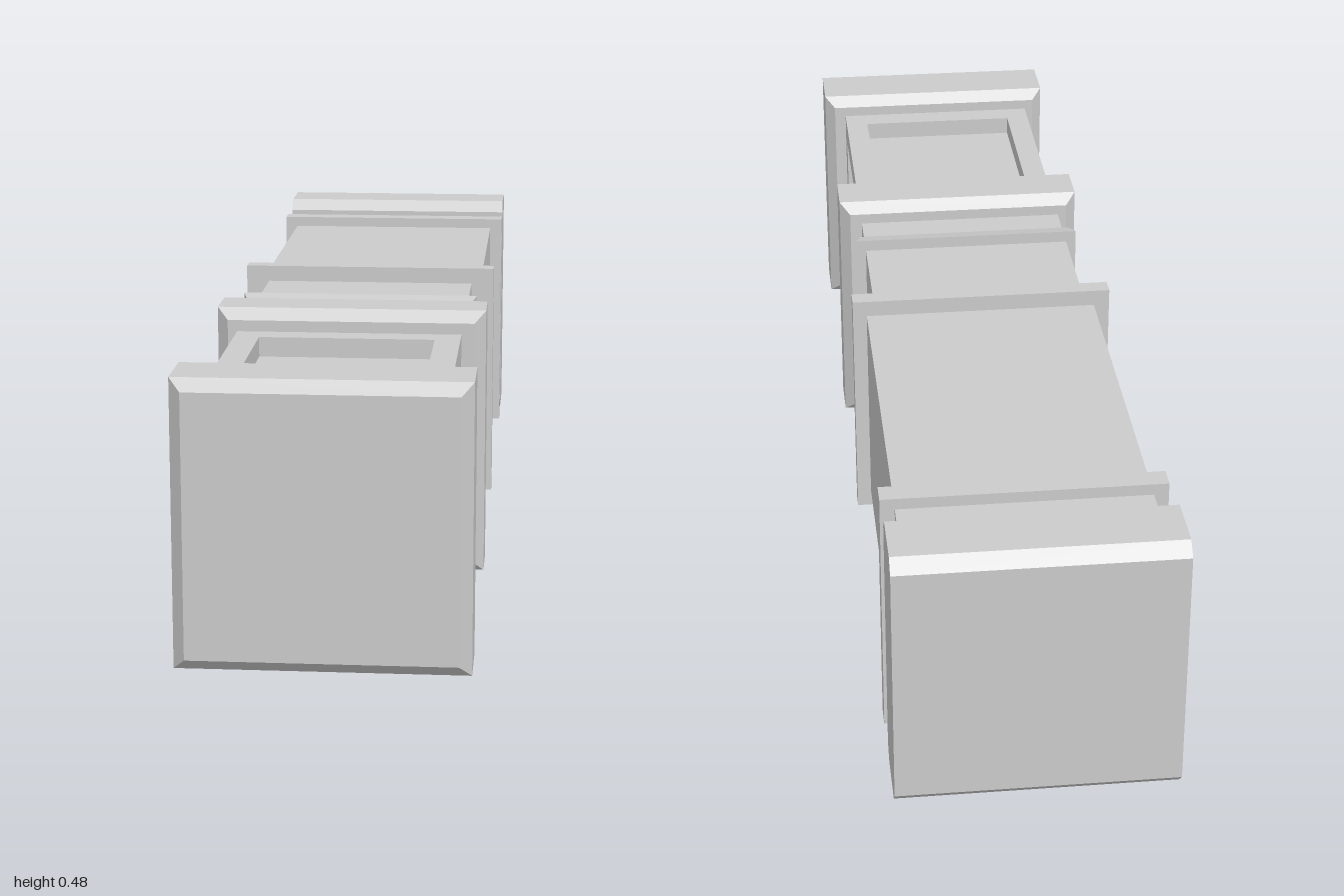
import * as THREE from 'three';

const material = new THREE.MeshStandardMaterial({ color: 0xcccccc, flatShading: true });

export function createModel() {
  const model = new THREE.Group();

  const add = (name, geometry, parent = model) => {
    const mesh = new THREE.Mesh(geometry, material);
    mesh.name = name;
    parent.add(mesh);
    return mesh;
  };

  // Box given by its limits on each axis
  const block = (name, x0, x1, y0, y1, z0, z1, parent) => {
    const g = new THREE.BoxGeometry(x1 - x0, y1 - y0, z1 - z0);
    g.translate((x0 + x1) / 2, (y0 + y1) / 2, (z0 + z1) / 2);
    return add(name, g, parent);
  };

  // Square collar with mitred chamfers around both ends
  const collar = (name, x0, x1, y0, y1, z0, z1, c) => {
    const s = new THREE.Shape([
      new THREE.Vector2(x0 + c, y0 + c), new THREE.Vector2(x1 - c, y0 + c),
      new THREE.Vector2(x1 - c, y1 - c), new THREE.Vector2(x0 + c, y1 - c),
    ]);
    const g = new THREE.ExtrudeGeometry(s, {
      depth: z1 - z0 - 2 * c, bevelEnabled: true, bevelSize: c, bevelThickness: c, bevelSegments: 1,
    });
    g.translate(0, 0, z0 + c);
    return add(name, g);
  };

  // Chamfered front end and the collar behind the panels
  collar('frontCap', -0.237, 0.243, 0, 0.48, 0.852, 1, 0.02);
  collar('middleCollar', -0.237, 0.243, 0, 0.48, 0.303, 0.43, 0.02);

  // Panelled section: sunken core, end blocks and four corner posts
  const panels = new THREE.Group();
  panels.name = 'panelledSection';
  model.add(panels);
  block('panelCore', -0.165, 0.165, 0.077, 0.405, 0.47, 0.82, panels);
  block('panelFrontBlock', -0.2, 0.2, 0.04, 0.44, 0.803, 0.87, panels);
  block('panelRearBlock', -0.2, 0.2, 0.04, 0.44, 0.4, 0.478, panels);
  for (const [x0, x1] of [[-0.2, -0.155], [0.155, 0.2]]) {
    for (const [y0, y1] of [[0.04, 0.088], [0.395, 0.44]]) {
      block('panelPost', x0, x1, y0, y1, 0.478, 0.803, panels);
    }
  }

  // Neck with a band that flares towards the back
  block('neck', -0.2, 0.2, 0.04, 0.44, -0.08, 0.32);
  const band = block('flaredBand', -0.219, 0.219, 0.026, 0.462, 0.178, 0.215);
  const p = band.geometry.attributes.position;
  for (let i = 0; i < p.count; i++) {
    if (p.getZ(i) > 0.2) {
      p.setX(i, p.getX(i) * 0.95);
      p.setY(i, 0.244 + (p.getY(i) - 0.244) * 0.96);
    }
  }
  band.geometry.computeVertexNormals();

  // Rear shaft, its deeper end and the two flat bands
  block('shaft', -0.215, 0.217, 0.053, 0.44, -0.7, -0.08);
  block('shaftEnd', -0.215, 0.217, 0.027, 0.44, -0.87, -0.7);
  block('frontBand', -0.244, 0.243, 0.021, 0.47, -0.097, -0.063);
  block('rearBand', -0.24, 0.242, 0.003, 0.46, -0.778, -0.738);

  // Back end: octagonal side profile, chamfered only along top and bottom
  const c = 0.022, z0 = 0.853, z1 = 1, h = 0.48;
  const profile = new THREE.Shape([
    [z0 + c, 0], [z1 - c, 0], [z1, c], [z1, h - c],
    [z1 - c, h], [z0 + c, h], [z0, h - c], [z0, c],
  ].map(([a, b]) => new THREE.Vector2(a, b)));
  const cap = new THREE.ExtrudeGeometry(profile, { depth: 0.48, bevelEnabled: false });
  cap.rotateY(Math.PI / 2);
  cap.translate(-0.239, 0, 0);
  add('backCap', cap);

  return model;
}
